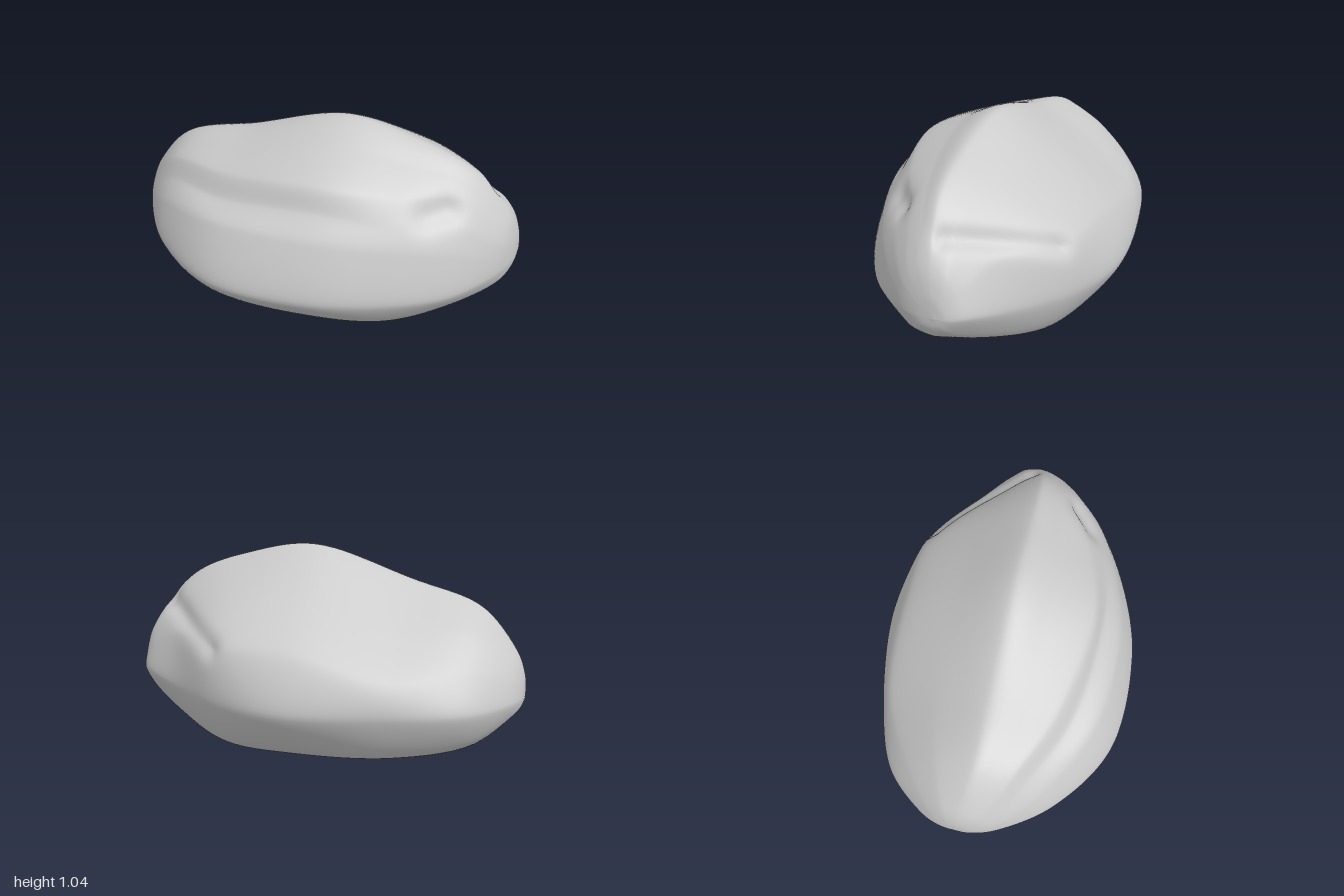
import * as THREE from 'three';
import { mergeVertices } from 'three/addons/utils/BufferGeometryUtils.js';

// Stations along the length, and the two end tips as [x, z, y]
const STATIONS = [-0.94, -0.76, -0.4, 0.1, 0.45, 0.75, 0.94];
const RIGHT_TIP = [-1, -0.05, 0.36];
const LEFT_TIP = [1, -0.1, 0.39];

// Lengthwise rails: [z, y] at every station, in order around the body
const backRails = [
  [[-0.03, 0.57], [0, 0.77], [0, 0.885], [0, 1.045], [0, 0.99], [-0.01, 0.87], [-0.06, 0.645]], // ridge
  [[-0.12, 0.54], [-0.19, 0.67], [-0.27, 0.72], [-0.27, 0.855], [-0.27, 0.825], [-0.14, 0.78], [-0.14, 0.6]], // slope
  [[-0.2, 0.46], [-0.35, 0.52], [-0.53, 0.5], [-0.56, 0.61], [-0.53, 0.61], [-0.3, 0.61], [-0.2, 0.5]], // shoulder
  [[-0.25, 0.35], [-0.45, 0.34], [-0.58, 0.33], [-0.655, 0.33], [-0.57, 0.34], [-0.37, 0.36], [-0.24, 0.39]], // widest
  [[-0.19, 0.27], [-0.33, 0.16], [-0.44, 0.1], [-0.46, 0.085], [-0.42, 0.1], [-0.25, 0.18], [-0.16, 0.29]], // undercut
];
const frontRails = [
  [[-0.03, 0.24], [0, 0.08], [0, 0.02], [0, 0.005], [-0.02, 0.035], [-0.02, 0.14], [-0.06, 0.25]], // base
  [[0.1, 0.25], [0.24, 0.12], [0.42, 0.1], [0.43, 0.095], [0.35, 0.1], [0.18, 0.17], [0.05, 0.27]], // undercut
  [[0.17, 0.33], [0.41, 0.32], [0.635, 0.32], [0.645, 0.33], [0.535, 0.33], [0.35, 0.33], [0.12, 0.36]], // widest
  [[0.16, 0.41], [0.34, 0.52], [0.53, 0.61], [0.56, 0.63], [0.47, 0.6], [0.31, 0.55], [0.12, 0.45]], // shelf
  [[0.13, 0.47], [0.25, 0.62], [0.41, 0.68], [0.46, 0.75], [0.4, 0.72], [0.24, 0.68], [0.1, 0.53]], // step foot
  [[0.08, 0.53], [0.19, 0.71], [0.34, 0.79], [0.4, 0.865], [0.31, 0.83], [0.15, 0.78], [0.06, 0.59]], // step top
  [[0.03, 0.56], [0.1, 0.745], [0.18, 0.85], [0.2, 0.965], [0.16, 0.92], [0.07, 0.835], [0, 0.635]], // crown
];

// Weathered hollows: a gouge from one point to another, [x, z, y]
const HOLLOWS = [
  { from: [0.48, -0.5, 0.6], to: [0.84, -0.08, 0.72], width: 0.05, depth: 0.035 },
  { from: [0.6, 0.26, 0.72], to: [0.68, 0.2, 0.74], width: 0.07, depth: 0.04 },
];

const point = ([x, z, y]) => new THREE.Vector3(x, y, z);

// An extra point close to a tip keeps the end blunt and round
function nearTip(tip, next) {
  const p = point(tip).lerp(next, 0.48);
  p.x = tip[0] * 0.988;
  return p;
}

function railCurve(rail) {
  const pts = rail.map(([z, y], i) => point([STATIONS[i], z, y]));
  return new THREE.CatmullRomCurve3([
    point(RIGHT_TIP), nearTip(RIGHT_TIP, pts[0]),
    ...pts,
    nearTip(LEFT_TIP, pts[pts.length - 1]), point(LEFT_TIP),
  ]);
}

// Push the surface inward around each hollow
function carve(geometry) {
  const pos = geometry.attributes.position, normal = geometry.attributes.normal;
  const p = new THREE.Vector3(), n = new THREE.Vector3(), nearest = new THREE.Vector3();
  for (const { from, to, width, depth } of HOLLOWS) {
    const line = new THREE.Line3(point(from), point(to));
    for (let i = 0; i < pos.count; i++) {
      p.fromBufferAttribute(pos, i);
      n.fromBufferAttribute(normal, i);
      line.closestPointToPoint(p, true, nearest);
      const fade = Math.exp(-p.distanceToSquared(nearest) / (width * width));
      p.addScaledVector(n, -depth * fade);
      pos.setXYZ(i, p.x, p.y, p.z);
    }
  }
}

// Closed sections through the rails, taut enough to leave broad facets
function boulderGeometry(lengthSteps, ringSteps) {
  const curves = [...backRails, ...frontRails].map(railCurve);
  const positions = [], index = [];
  for (let i = 0; i <= lengthSteps; i++) {
    const corners = curves.map((c) => c.getPoint(i / lengthSteps));
    const ring = new THREE.CatmullRomCurve3(corners, true, 'catmullrom', 0.35);
    for (let j = 0; j < ringSteps; j++) positions.push(...ring.getPoint(j / ringSteps).toArray());
  }
  for (let i = 0; i < lengthSteps; i++) {
    for (let j = 0; j < ringSteps; j++) {
      const k = (j + 1) % ringSteps;
      const a = i * ringSteps + j, b = i * ringSteps + k;
      const c = a + ringSteps, d = b + ringSteps;
      index.push(a, c, b, b, c, d);
    }
  }
  let geometry = new THREE.BufferGeometry();
  geometry.setAttribute('position', new THREE.Float32BufferAttribute(positions, 3));
  geometry.setIndex(index);
  geometry = mergeVertices(geometry, 1e-5);
  geometry.computeVertexNormals();
  carve(geometry);
  geometry.computeBoundingBox();
  geometry.translate(0, -geometry.boundingBox.min.y, 0);
  geometry.computeVertexNormals();
  return geometry;
}

export function createModel() {
  const group = new THREE.Group();
  group.name = 'rock';
  const boulder = new THREE.Mesh(
    boulderGeometry(110, 144),
    new THREE.MeshStandardMaterial({ color: 0xcccccc }),
  );
  boulder.name = 'boulder';
  group.add(boulder);
  return group;
}
